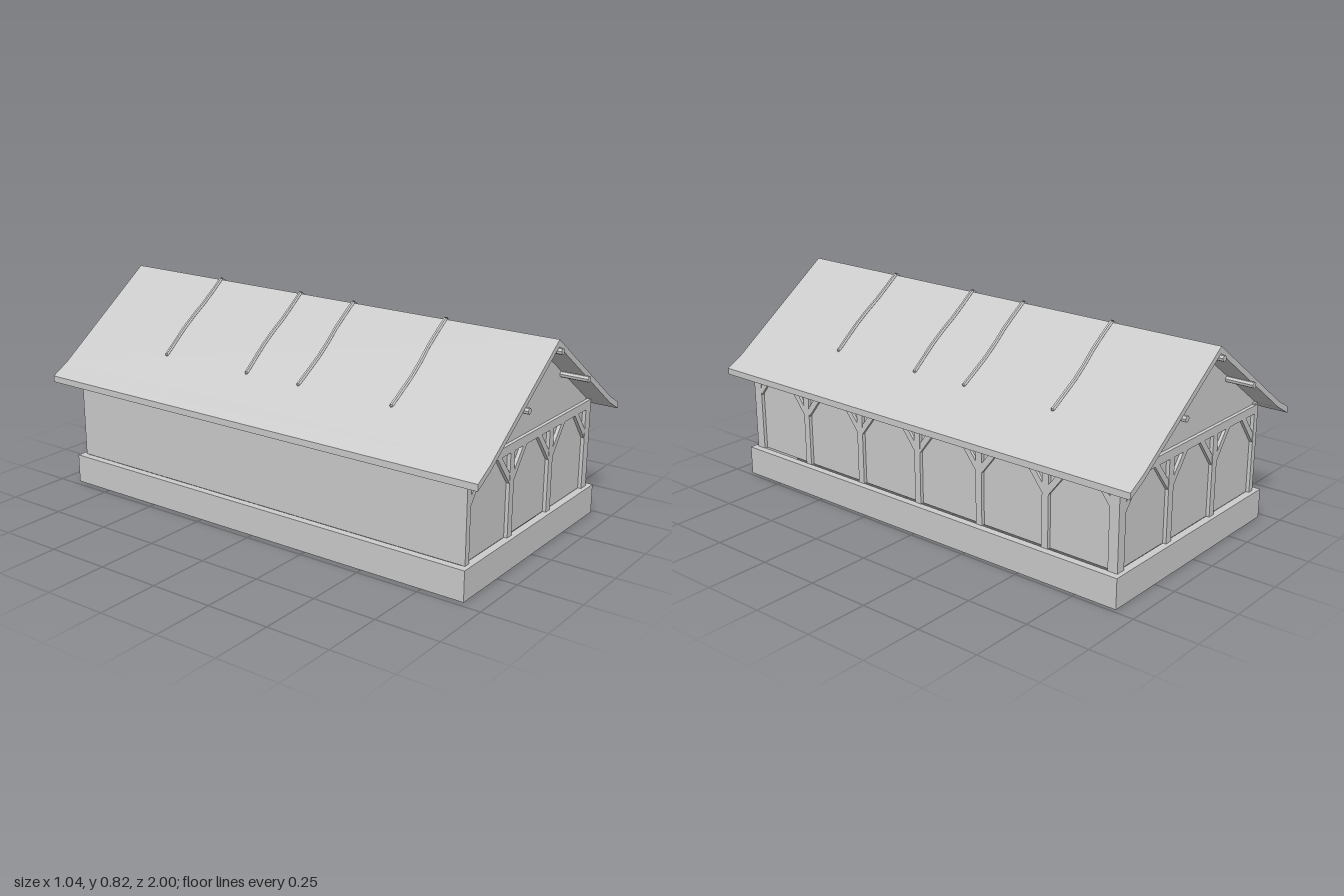
import * as THREE from 'three';

const mat = new THREE.MeshStandardMaterial({ color: 0xcccccc, flatShading: true, side: THREE.DoubleSide });
const BASE = 0.116, BEAM = 0.435, PLATE = 0.468;

function add(parent, name, geo, x = 0, y = 0, z = 0) {
  const m = new THREE.Mesh(geo, mat);
  m.name = name;
  m.position.set(x, y, z);
  parent.add(m);
  return m;
}

// Box given by its limits
function block(parent, name, x0, x1, y0, y1, z0, z1) {
  return add(parent, name, new THREE.BoxGeometry(x1 - x0, y1 - y0, z1 - z0),
    (x0 + x1) / 2, (y0 + y1) / 2, (z0 + z1) / 2);
}

// Flat outline extruded along z
function slab(parent, name, pts, z0, z1) {
  const shape = new THREE.Shape(pts.map(p => new THREE.Vector2(...p)));
  const geo = new THREE.ExtrudeGeometry(shape, { depth: z1 - z0, bevelEnabled: false });
  return add(parent, name, geo, 0, 0, z0);
}

// Timber frame in the xy plane: posts [x0, x1], a top beam and diagonal braces
function timberFrame(name, posts, depth) {
  const g = new THREE.Group();
  g.name = name;
  const last = posts.length - 1;
  posts.forEach(([x0, x1], i) => {
    block(g, 'post', x0, x1, BASE, BEAM, 0, depth);
    const brace = (x, d) => slab(g, 'brace',
      [[x, 0.322], [x, 0.36], [x + d * 0.06, BEAM], [x + d * 0.088, BEAM]], 0.002, depth - 0.001);
    if (i > 0) brace(x0, -1);
    if (i < last) brace(x1, 1);
  });
  block(g, 'topBeam', posts[0][0], posts[last][1], BEAM, PLATE, 0, depth);
  return g;
}

// Height of the roof surface at a distance from the ridge
const roofY = x => 0.817 - 0.716 * Math.abs(x);

export function createModel() {
  const model = new THREE.Group();
  model.name = 'timberBarn';

  // Hollow stone plinth, open underneath
  const plinth = new THREE.Shape([[-0.475, -0.92], [0.485, -0.92], [0.485, 0.92], [-0.475, 0.92]]
    .map(p => new THREE.Vector2(...p)));
  plinth.holes.push(new THREE.Path([[-0.445, -0.89], [-0.445, 0.89], [0.455, 0.89], [0.455, -0.89]]
    .map(p => new THREE.Vector2(...p))));
  const plinthGeo = new THREE.ExtrudeGeometry(plinth, { depth: BASE, bevelEnabled: false });
  plinthGeo.rotateX(-Math.PI / 2);
  add(model, 'plinth', plinthGeo);

  // Long walls
  block(model, 'rightWall', -0.444, -0.424, BASE, 0.475, -0.9, 0.9);
  block(model, 'leftWall', 0.424, 0.444, BASE, 0.475, -0.885, 0.885);

  // Gable ends: infill panel and timber frame
  const gablePosts = [[-0.444, -0.419], [-0.158, -0.128], [0.13, 0.161], [0.419, 0.458]];
  for (const s of [-1, 1]) {
    const end = s > 0 ? 'front' : 'back';
    const z = s * 0.883;
    slab(model, end + 'GableWall',
      [[-0.444, BASE], [0.444, BASE], [0.444, 0.476], [0, 0.793], [-0.444, 0.476]], z - 0.006, z + 0.006);
    const frame = timberFrame(end + 'GableFrame', gablePosts, 0.04);
    frame.position.z = s > 0 ? 0.863 : -0.903;
    model.add(frame);
  }

  // Timber frame on the left long wall
  const sidePosts = [[-0.9, -0.885]];
  for (let i = -2; i <= 2; i++) sidePosts.push([i * 0.298 - 0.014, i * 0.298 + 0.014]);
  sidePosts.push([0.885, 0.9]);
  const sideFrame = timberFrame('leftSideFrame', sidePosts, 0.014);
  sideFrame.rotation.y = Math.PI / 2;
  sideFrame.position.x = 0.444;
  model.add(sideFrame);

  // Roof with a gentler slope at the eaves
  slab(model, 'roof', [
    [0, 0.817], [0.447, 0.497], [0.522, 0.455], [0.522, 0.43], [0.447, 0.472],
    [0, 0.791], [-0.447, 0.472], [-0.522, 0.43], [-0.522, 0.455], [-0.447, 0.497],
  ], -0.985, 0.985);

  // Purlin ends beneath the gable overhangs
  for (const s of [-1, 1]) {
    for (const [x, y] of [[0, 0.776], [0.222, 0.622], [-0.222, 0.622]]) {
      const geo = new THREE.CylinderGeometry(0.012, 0.012, 0.115, 7);
      geo.rotateX(Math.PI / 2);
      add(model, 'purlinEnd', geo, x, y, s * 0.9425);
    }
  }

  // Slightly crooked poles weighing down both roof slopes
  for (const z of [-0.535, -0.13, 0.122, 0.53]) {
    for (const s of [-1, 1]) {
      const bend = Math.sign(z) * 0.006;
      const pts = [[0, 0], [0.1, -0.3], [0.2, 0.9], [0.335, -0.6]].map(([x, k]) =>
        new THREE.Vector3(s * x, roofY(x) + 0.002, z + bend * k));
      add(model, 'roofPole', new THREE.TubeGeometry(new THREE.CatmullRomCurve3(pts), 6, 0.008, 6));
      // Cap the lower end
      const cap = new THREE.SphereGeometry(0.0075, 6, 4);
      add(model, 'roofPoleEnd', cap, pts[3].x, pts[3].y, pts[3].z);
    }
  }

  return model;
}
